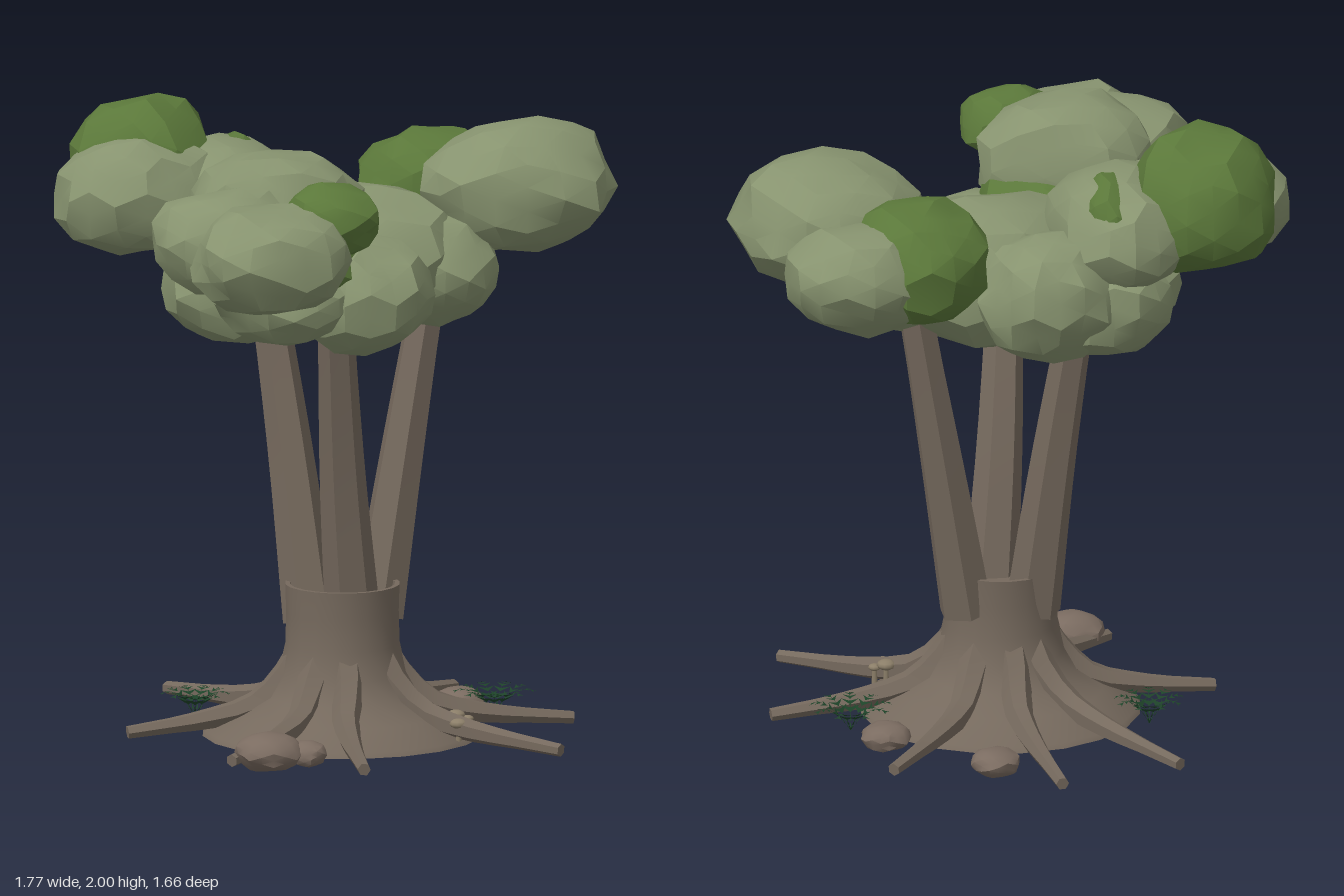
import * as THREE from 'three';
import { toCreasedNormals } from 'three/addons/utils/BufferGeometryUtils.js';

const V = (x, y, z) => new THREE.Vector3(x, y, z);

// Repeatable pseudo-random value in 0..1 for a point and a seed
function hash(x, y, z, seed) {
  const r = (n) => Math.round(n * 100);
  const s = Math.sin(r(x) * 1.271 + r(y) * 3.117 + r(z) * 7.47 + seed * 12.9) * 43758.5453;
  return s - Math.floor(s);
}

// Lumpy ellipsoid: an icosphere with each corner pushed in or out
function lumpGeometry([rx, ry, rz], seed, rough, crease) {
  const g = new THREE.IcosahedronGeometry(1, 2);
  const p = g.attributes.position;
  for (let i = 0; i < p.count; i++) {
    const x = p.getX(i), y = p.getY(i), z = p.getZ(i);
    const wave = Math.sin(x * 3 + seed) * Math.sin(y * 3 + seed * 2) * Math.cos(z * 3 - seed);
    const k = 1 + rough * (hash(x, y, z, seed) - 0.5) + rough * 0.7 * wave;
    p.setXYZ(i, x * k * rx, y * k * ry, z * k * rz);
  }
  return toCreasedNormals(g, crease);
}

// Tapered, faceted limb along a curve, closed at its far end
function limbGeometry(points, r0, r1, sides, steps) {
  const curve = new THREE.CatmullRomCurve3(points);
  const g = new THREE.TubeGeometry(curve, steps, 1, sides, false);
  const p = g.attributes.position;
  const v = V(0, 0, 0);
  const end = curve.getPointAt(1);
  for (let i = 0; i < p.count; i++) {
    const ring = Math.floor(i / (sides + 1));
    const u = ring / steps;
    const c = curve.getPointAt(u);
    const r = ring === steps ? 0 : THREE.MathUtils.lerp(r0, r1, u);
    v.fromBufferAttribute(p, i).sub(c).multiplyScalar(r).add(ring >= steps - 1 ? end : c);
    p.setXYZ(i, v.x, v.y, v.z);
  }
  return toCreasedNormals(g, 0.5);
}

// Fern: arching fronds with pairs of pointed leaflets
function fernGeometry(fronds, length, height) {
  const pos = [];
  const tri = (...pts) => pts.forEach((q) => pos.push(q.x, q.y, q.z));
  for (let f = 0; f < fronds; f++) {
    const a = (f / fronds) * Math.PI * 2 + 0.3;
    const out = V(Math.cos(a), 0, Math.sin(a));
    const side = V(-Math.sin(a), 0, Math.cos(a));
    const at = (t) => out.clone().multiplyScalar(length * t).setY(height * Math.sin(t * 2));
    const n = 7;
    for (let i = 0; i < n; i++) {
      const c = at(i / n), d = at((i + 1) / n);
      const w = side.clone().multiplyScalar(0.003);
      tri(c.clone().add(w), d, c.clone().sub(w));
      if (i < 2) continue;
      for (const s of [-1, 1]) {
        const tip = d.clone().addScaledVector(side, s * 0.034 * (1.25 - i / n));
        tri(c, c.clone().lerp(d, 0.6), tip);
      }
    }
  }
  const g = new THREE.BufferGeometry();
  g.setAttribute('position', new THREE.Float32BufferAttribute(pos, 3));
  g.computeVertexNormals();
  return g;
}

export function createModel() {
  const model = new THREE.Group();
  const material = (name, color, extra = {}) => {
    const m = new THREE.MeshStandardMaterial({ color, ...extra });
    m.name = name;
    return m;
  };
  const bark = material('bark', 0x75695d);
  const paleLeaf = material('paleLeaf', 0x87936f);
  const moss = material('moss', 0x5b783a);
  const stone = material('stone', 0x7b6c61);
  const fernGreen = material('fernGreen', 0x1d4228, { side: THREE.DoubleSide });
  const fungus = material('fungus', 0x8c7f69);

  const add = (name, geometry, mat, x = 0, y = 0, z = 0) => {
    const mesh = new THREE.Mesh(geometry, mat);
    mesh.name = name;
    mesh.position.set(x, y, z);
    model.add(mesh);
    return mesh;
  };

  // Stump flaring into a low mound, closed below and slightly hollow on top
  const profile = [
    [0, 0.015], [0.44, 0.015], [0.43, 0.03], [0.32, 0.085], [0.24, 0.14], [0.2, 0.21],
    [0.18, 0.3], [0.177, 0.4], [0.18, 0.49], [0.165, 0.49], [0.16, 0.45], [0, 0.45],
  ].map(([r, y]) => new THREE.Vector2(r, y));
  add('stump', toCreasedNormals(new THREE.LatheGeometry(profile, 20), 0.6), bark, 0, 0, -0.03);

  // Roots spreading to their tips (x, z)
  const rootTips = [
    [0.62, 0.47], [-0.03, 0.7], [-0.42, 0.5], [-0.68, 0],
    [-0.46, -0.71], [-0.07, -0.83], [0.43, -0.62], [0.73, -0.06],
  ];
  rootTips.forEach(([tx, tz], i) => {
    const dz = tz + 0.03, len = Math.hypot(tx, dz);
    const at = (r, y, bend = 0) =>
      V((tx * r - dz * bend) / len, y, (dz * r + tx * bend) / len - 0.03);
    const b = i % 2 ? 0.015 : -0.015;
    const path = [at(0.13, 0.26), at(0.19, 0.18), at(0.28, 0.105, b),
      at(0.42, 0.07, b), at(len, 0.038)];
    add('root', limbGeometry(path, 0.058, 0.016, 6, 9), bark);
  });

  // Three leaning stems: base, middle, top
  const stems = [
    [V(0.03, 0.36, 0.0), V(-0.015, 0.85, 0.085), V(-0.06, 1.48, 0.23)],
    [V(-0.09, 0.36, -0.1), V(-0.14, 0.85, -0.17), V(-0.22, 1.48, -0.26)],
    [V(0.12, 0.37, -0.11), V(0.2, 0.85, -0.155), V(0.31, 1.48, -0.21)],
  ];
  for (const path of stems) add('stem', limbGeometry(path, 0.088, 0.052, 6, 8), bark);

  // Foliage clumps: centre, radii
  const paleClumps = [
    [[0.05, 1.5, -0.1], [0.36, 0.24, 0.33]],
    [[-0.3, 1.42, -0.08], [0.27, 0.165, 0.25]],
    [[0.03, 1.45, 0.2], [0.23, 0.19, 0.22]],
    [[0.3, 1.47, -0.07], [0.2, 0.17, 0.22]],
    [[-0.1, 1.5, -0.38], [0.23, 0.21, 0.23]],
    [[-0.28, 1.46, -0.33], [0.22, 0.18, 0.22]],
    [[-0.22, 1.45, 0.25], [0.22, 0.14, 0.22]],
    [[-0.62, 1.71, -0.2], [0.27, 0.19, 0.22]],
    [[-0.34, 1.68, -0.28], [0.23, 0.19, 0.31]],
    [[-0.25, 1.72, 0.26], [0.29, 0.21, 0.22]],
    [[-0.43, 1.68, 0.44], [0.24, 0.17, 0.22]],
    [[-0.31, 1.65, 0.62], [0.26, 0.18, 0.21]],
    [[0.57, 1.71, -0.18], [0.31, 0.21, 0.28]],
    [[0.5, 1.63, -0.47], [0.25, 0.18, 0.23]],
  ];
  const mossClumps = [
    [[-0.59, 1.76, -0.33], [0.24, 0.24, 0.24]],
    [[-0.29, 1.7, -0.31], [0.1, 0.175, 0.24]],
    [[0.32, 1.66, -0.45], [0.22, 0.2, 0.24]],
    [[-0.11, 1.75, 0.52], [0.155, 0.12, 0.145]],
    [[-0.2, 1.57, 0.2], [0.25, 0.17, 0.23]],
    [[0.3, 1.57, -0.1], [0.1, 0.09, 0.1]],
  ];
  const clumps = (name, list, mat, seed) => list.forEach(([c, r], i) =>
    add(name, lumpGeometry(r, seed + i * 1.7, 0.12, 0.42), mat, ...c));
  clumps('paleFoliage', paleClumps, paleLeaf, 1);
  clumps('mossyFoliage', mossClumps, moss, 40);

  // Stones around the roots
  const stones = [
    [[-0.3, 0.062, 0.5], [0.11, 0.06, 0.1]],
    [[-0.18, 0.055, 0.5], [0.06, 0.042, 0.07]],
    [[0.11, 0.046, -0.62], [0.08, 0.044, 0.08]],
    [[0.41, 0.046, -0.33], [0.08, 0.044, 0.08]],
  ];
  stones.forEach(([c, r], i) => add('stone', lumpGeometry(r, 70 + i, 0.12, 0.6), stone, ...c));

  // Ferns
  add('fern', fernGeometry(9, 0.13, 0.085), fernGreen, 0.5, 0.025, -0.2);
  add('fern', fernGeometry(9, 0.11, 0.085), fernGreen, -0.43, 0.025, -0.28);

  // Small mushrooms beside a root
  for (const [x, y, z, r] of [[0.33, 0.1, 0.17, 0.03], [0.33, 0.085, 0.235, 0.03], [0.365, 0.09, 0.18, 0.02]]) {
    const cap = new THREE.SphereGeometry(r, 10, 6);
    cap.scale(1, 0.55, 1);
    add('mushroomCap', cap, fungus, x, y, z);
    add('mushroomStalk', new THREE.CylinderGeometry(0.008, 0.01, y - 0.03, 6), fungus, x, (y + 0.03) / 2, z);
  }
  return model;
}
